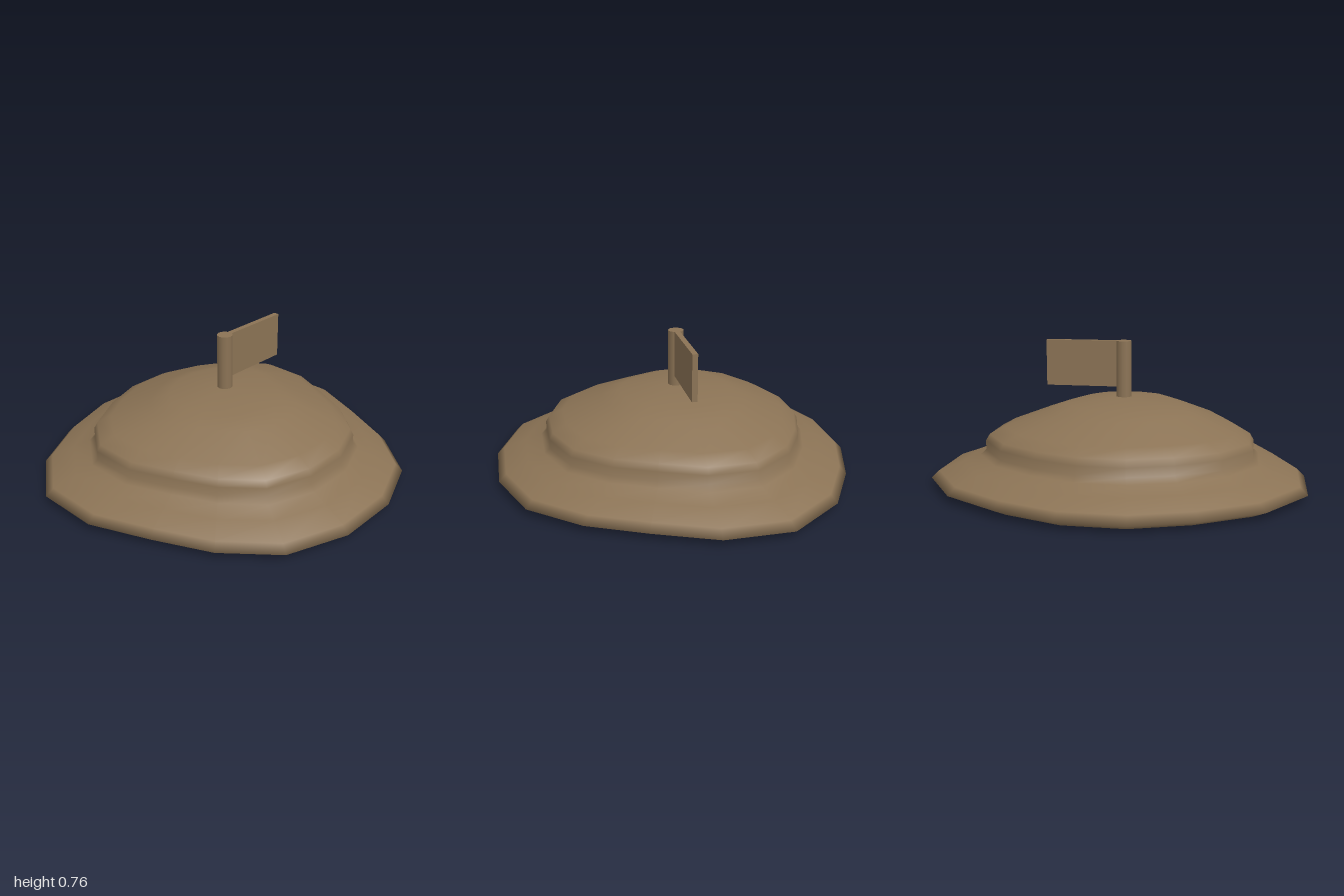
import * as THREE from 'three';
import { mergeVertices } from 'three/addons/utils/BufferGeometryUtils.js';

const CENTER_Z = -0.03;

// Right half of the base outline [x, z], from back to front; mirrored for the left
const HALF = [
  [0.17, -0.98], [0.49, -0.87], [0.79, -0.69], [1.0, -0.39], [1.0, -0.03],
  [0.87, 0.29], [0.73, 0.59], [0.51, 0.85], [0.18, 0.975],
];

// Mound profile [outline scale, height], from underside centre to summit
const PROFILE = [
  [0, 0], [0.92, 0], [1, 0.04], [0.96, 0.08], [0.84, 0.123], [0.75, 0.158],
  [0.72, 0.185], [0.72, 0.235], [0.7, 0.27], [0.625, 0.31], [0.41, 0.391],
  [0.31, 0.425], [0, 0.46],
];

// Loft the outline through the profile, with shared vertices for smooth shading
function moundGeometry() {
  const outline = [...HALF, ...HALF.map(([x, z]) => [-x, z]).reverse()];
  const n = outline.length;
  const positions = [];
  const index = [];
  for (const [s, y] of PROFILE) {
    for (const [x, z] of outline) positions.push(x * s, y, CENTER_Z + (z - CENTER_Z) * s);
  }
  for (let i = 0; i < PROFILE.length - 1; i++) {
    for (let j = 0; j < n; j++) {
      const a = i * n + j, b = i * n + (j + 1) % n;
      const c = a + n, d = b + n;
      if (PROFILE[i][0] > 0) index.push(a, c, b);
      if (PROFILE[i + 1][0] > 0) index.push(b, c, d);
    }
  }
  const geometry = new THREE.BufferGeometry();
  geometry.setAttribute('position', new THREE.Float32BufferAttribute(positions, 3));
  geometry.setIndex(index);
  const merged = mergeVertices(geometry);
  merged.computeVertexNormals();
  return merged;
}

export function createModel() {
  const group = new THREE.Group();
  const sand = new THREE.MeshStandardMaterial({ color: 0x8b7355 });
  sand.name = 'sandyBrown';

  const add = (name, geometry, x, y, z) => {
    const mesh = new THREE.Mesh(geometry, sand);
    mesh.name = name;
    mesh.position.set(x, y, z);
    group.add(mesh);
  };

  // Stepped mound
  add('mound', moundGeometry(), 0, 0, 0);
  // Pole standing on the summit
  add('flagPole', new THREE.CylinderGeometry(0.043, 0.043, 0.325, 12), 0, 0.6025, CENTER_Z);
  // Stiff flag reaching to the left side
  add('flag', new THREE.BoxGeometry(0.415, 0.255, 0.03), 0.2275, 0.6375, CENTER_Z);

  return group;
}
